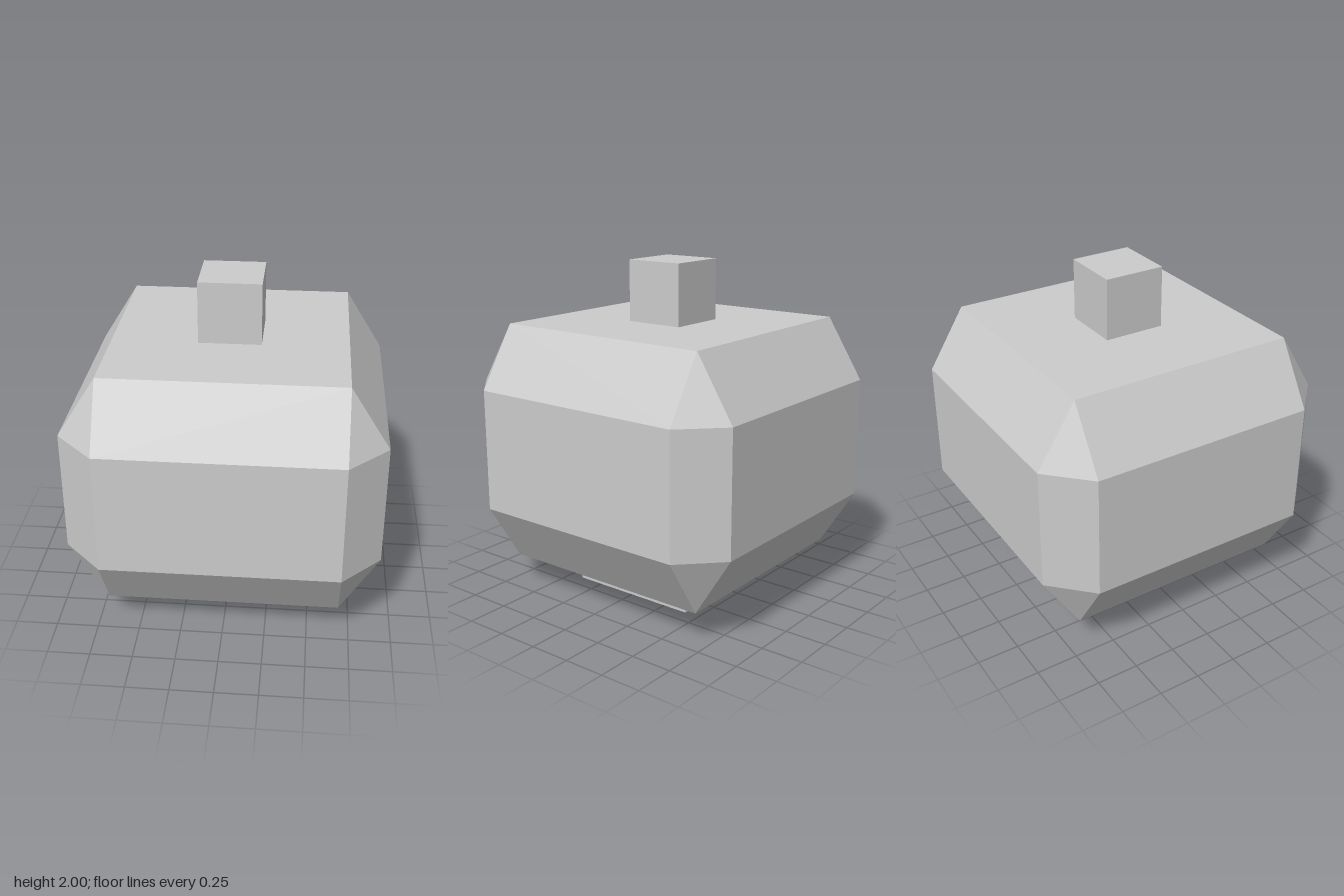
import * as THREE from 'three';
import { ConvexGeometry } from 'three/addons/geometries/ConvexGeometry.js';

const material = new THREE.MeshStandardMaterial({ color: 0xcccccc, flatShading: true });

function block(name, width, bottom, top) {
  const mesh = new THREE.Mesh(new THREE.BoxGeometry(width, top - bottom, width), material);
  mesh.position.y = (bottom + top) / 2;
  mesh.name = name;
  return mesh;
}

export function createModel() {
  const group = new THREE.Group();
  group.name = 'lantern';

  // Chamfered body: square top and bottom, straight eight-sided middle band
  const inner = 0.682, outer = 0.909;
  const points = [];
  for (const sx of [-1, 1]) {
    for (const sz of [-1, 1]) {
      for (const y of [0.182, 1.636]) points.push(new THREE.Vector3(sx * inner, y, sz * inner));
      for (const y of [0.545, 1.273]) {
        points.push(new THREE.Vector3(sx * outer, y, sz * inner));
        points.push(new THREE.Vector3(sx * inner, y, sz * outer));
      }
    }
  }
  const body = new THREE.Mesh(new ConvexGeometry(points), material);
  body.name = 'body';

  // Foot below and knob on top
  group.add(body, block('foot', 0.818, 0, 0.182), block('knob', 0.364, 1.636, 2));
  return group;
}
